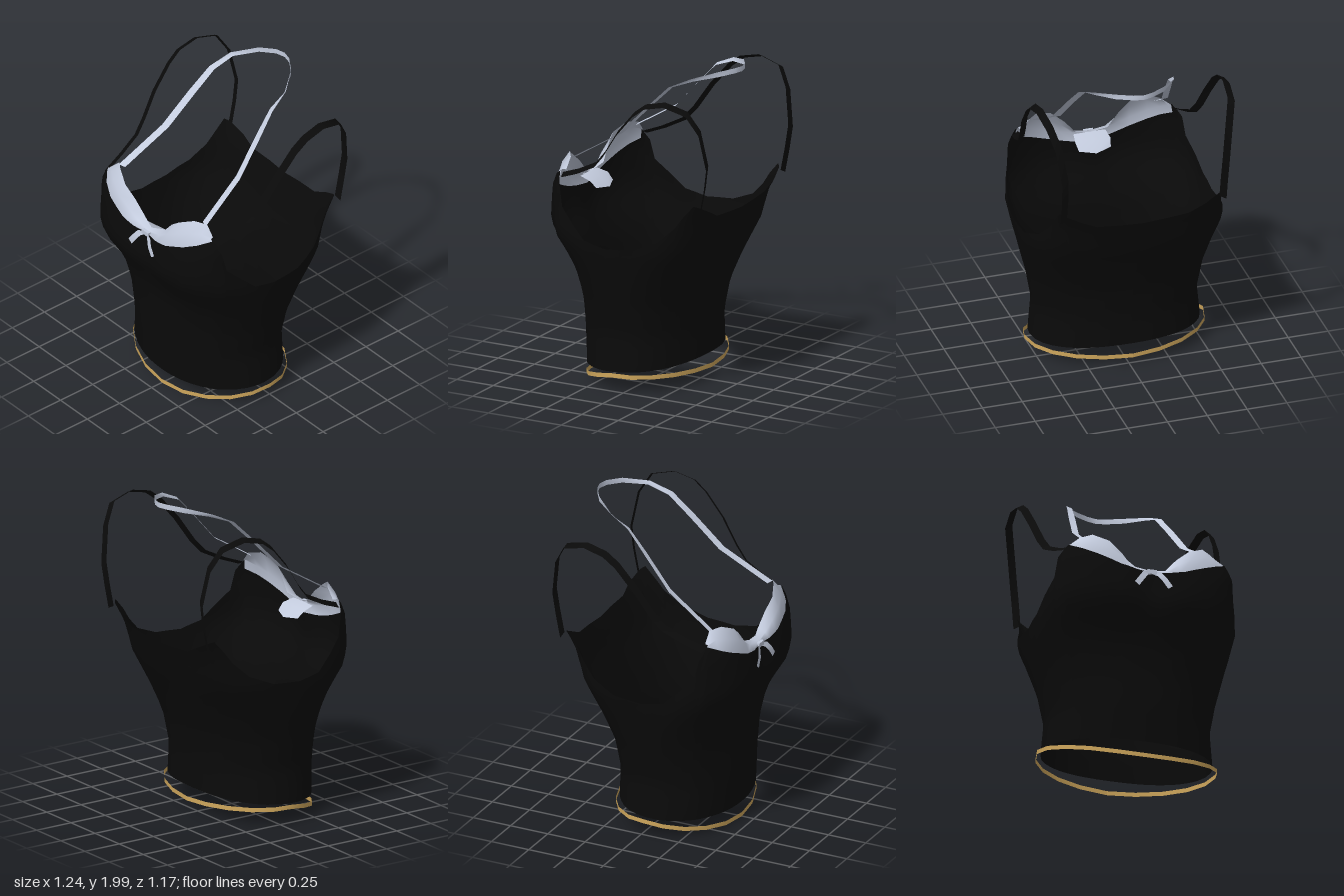
import * as THREE from 'three';

const DEG = Math.PI / 180;
const V = (x, y, z) => new THREE.Vector3(x, y, z);

function material(name, color) {
  const m = new THREE.MeshStandardMaterial({ color, side: THREE.DoubleSide });
  m.name = name;
  return m;
}

// Piecewise linear lookup: rows are [key, value, value...]
function lookup(table, key) {
  let i = 0;
  while (i < table.length - 2 && key > table[i + 1][0]) i++;
  const a = table[i], b = table[i + 1];
  const t = THREE.MathUtils.clamp((key - a[0]) / (b[0] - a[0]), 0, 1);
  return a.slice(1).map((v, k) => v + (b[k + 1] - v) * t);
}

// Surface through rows of points
function surface(name, rows, mat) {
  const n = rows[0].length, index = [];
  for (let j = 0; j < rows.length - 1; j++) {
    for (let i = 0; i < n - 1; i++) {
      const a = j * n + i, d = a + n;
      index.push(a, a + 1, d + 1, a, d + 1, d);
    }
  }
  const g = new THREE.BufferGeometry().setFromPoints(rows.flat());
  g.setIndex(index);
  g.computeVertexNormals();
  const mesh = new THREE.Mesh(g, mat);
  mesh.name = name;
  return mesh;
}

// Flat band along a path; each entry is [x, y, z, half-width vector]
function ribbon(name, path, mat) {
  const edge = s => path.map(([x, y, z, w]) => V(x, y, z).addScaledVector(w, s));
  return surface(name, [edge(-1), edge(1)], mat);
}

// Body sections: height, half width, front z, back z, squareness
const SECTIONS = [
  [0.10, 0.53, 0.42, -0.30, 2.1],
  [0.35, 0.505, 0.44, -0.30, 2.1],
  [0.55, 0.54, 0.44, -0.33, 2.2],
  [0.72, 0.58, 0.46, -0.39, 2.5],
  [0.82, 0.60, 0.50, -0.43, 2.8],
  [0.94, 0.62, 0.57, -0.48, 3.2],
  [1.02, 0.61, 0.59, -0.50, 3.4],
  [1.15, 0.59, 0.575, -0.54, 3.8],
  [1.25, 0.58, 0.55, -0.60, 4.5],
  [1.35, 0.56, 0.50, -0.60, 4.5],
];

// Top edge by angle from the front: neckline, armhole, back neckline
const TOP_EDGE = [
  [0, 1.17], [11, 1.175], [21, 1.195], [34, 1.25], [51, 1.33], [56, 1.25],
  [58.5, 1.13], [75, 0.96], [88, 0.93], [105, 0.945], [119, 1.01],
  [127.5, 1.10], [136, 1.25], [139, 1.235], [153, 1.14], [180, 1.12],
];

// Point on the body at an angle and height
function bodyPoint(angle, y, scale = 1) {
  const zc = 0.04;
  const [w, front, back, n] = lookup(SECTIONS, y);
  const dx = Math.sin(angle * DEG), dz = Math.cos(angle * DEG);
  const depth = dz > 0 ? front - zc : zc - back;
  let r = scale / Math.pow(Math.pow(Math.abs(dx) / w, n) + Math.pow(Math.abs(dz) / depth, n), 1 / n);
  // Hollow between the cups
  const bust = Math.max(0, 1 - Math.abs(y - 1.08) / 0.28);
  r *= 1 - 0.08 * bust * Math.exp(-Math.pow(angle / 12, 2));
  return V(dx * r, y, zc + dz * r);
}

const topY = angle => lookup(TOP_EDGE, Math.abs(angle))[0];

function buildTop(mat) {
  const half = [];
  TOP_EDGE.forEach(([a], i) => {
    if (i) half.push((a + TOP_EDGE[i - 1][0]) / 2);
    half.push(a);
  });
  const angles = [...half.slice(1).reverse().map(a => -a), ...half];
  const rows = [], steps = 18;
  for (let j = 0; j <= steps; j++) {
    rows.push(angles.map(a => {
      const bottom = 0.11 + 0.03 * (1 - Math.cos(a * DEG));
      return bodyPoint(a, THREE.MathUtils.lerp(bottom, topY(a), j / steps));
    }));
  }
  return surface('topBody', rows, mat);
}

function buildShoulderStrap(side, mat) {
  const path = [
    [0.50, 1.31, 0.42], [0.52, 1.355, 0.30], [0.54, 1.42, 0.17], [0.555, 1.50, 0.10],
    [0.575, 1.65, 0.00], [0.585, 1.79, -0.12], [0.59, 1.85, -0.20], [0.585, 1.88, -0.33],
    [0.57, 1.84, -0.475], [0.535, 1.72, -0.545], [0.505, 1.50, -0.58], [0.50, 1.36, -0.56],
    [0.50, 1.21, -0.53],
  ];
  const w = V(side * 0.021, -0.011, -0.004);
  return ribbon('shoulderStrap', path.map(([x, y, z]) => [side * x, y, z, w]), mat);
}

function buildHalter(mat) {
  const half = [
    [0.385, 1.39, 0.41], [0.34, 1.57, 0.11], [0.305, 1.76, -0.07], [0.278, 1.89, -0.20],
    [0.25, 1.945, -0.33], [0.15, 1.975, -0.46], [0.06, 1.984, -0.52], [0, 1.984, -0.535],
  ];
  // The band turns from lying flat at the chest to upright behind the neck
  const half2 = half.map(([x, y, z], i) => {
    const t = THREE.MathUtils.clamp((i - 2.5) / 2.5, 0, 1);
    return [x, y, z, V(0.023 * (1 - t), 0.016 * t, 0.006 * (1 - t))];
  });
  const mirrored = half2.slice(0, -1).reverse()
    .map(([x, y, z, w]) => [-x, y, z, V(-w.x, w.y, w.z)]);
  return ribbon('halterStrap', [...half2, ...mirrored], mat);
}

function buildBra(mat) {
  // Body angle at the neckline, then the upper edge x, y, z
  const half = [
    [0, 0, 1.19, 0.50], [11, 0.10, 1.22, 0.475], [19, 0.17, 1.30, 0.485],
    [27, 0.25, 1.365, 0.495], [37, 0.345, 1.41, 0.455], [44, 0.41, 1.40, 0.41],
    [51, 0.465, 1.335, 0.41],
  ];
  const columns = [
    ...half.slice(1).reverse().map(([a, x, y, z]) => [-a, -x, y, z]), ...half,
  ];
  const low = columns.map(([a]) => bodyPoint(a, topY(a) - 0.06, 0.975));
  const edge = columns.map(([a]) => bodyPoint(a, topY(a), 0.99));
  const top = columns.map(([, x, y, z]) => V(x, y, z));
  const middle = edge.map((p, i) => p.clone().lerp(top[i], 0.5).add(V(0, 0.005, 0.012)));
  const group = new THREE.Group();
  group.name = 'innerBra';
  group.add(surface('cups', [low, edge, middle, top], mat));
  // Bridge folding inward between the cups
  group.add(surface('centreBridge', [
    [V(-0.10, 1.18, 0.52), V(0, 1.185, 0.515), V(0.10, 1.18, 0.52)],
    [V(-0.11, 1.16, 0.45), V(0, 1.165, 0.45), V(0.11, 1.16, 0.45)],
    [V(-0.10, 1.12, 0.41), V(0, 1.11, 0.375), V(0.10, 1.12, 0.41)],
  ], mat));
  return group;
}

function buildBow(mat) {
  const group = new THREE.Group();
  group.name = 'bow';
  for (const s of [-1, 1]) {
    const w = V(s * 0.014, 0.011, 0);
    group.add(ribbon('bowTail', [
      [s * 0.01, 1.17, 0.545, V(0, 0.014, 0)], [s * 0.045, 1.155, 0.56, w],
      [s * 0.07, 1.12, 0.575, w], [s * 0.105, 1.07, 0.58, w],
    ], mat));
  }
  const knot = new THREE.Mesh(new THREE.BoxGeometry(0.06, 0.028, 0.02), mat);
  knot.name = 'bowKnot';
  knot.position.set(0, 1.172, 0.542);
  group.add(knot);
  return group;
}

function buildBelt(mat) {
  const heights = [[0, 0.022], [21, 0.032], [48, 0.07], [70, 0.105], [90, 0.128], [135, 0.118], [180, 0.103]];
  const path = [];
  for (let i = 0; i <= 20; i++) {
    const a = -180 + i * 18;
    const [y] = lookup(heights, Math.abs(a));
    path.push([0.56 * Math.sin(a * DEG), y, 0.045 + 0.375 * Math.cos(a * DEG), V(0, 0.0135, 0)]);
  }
  return ribbon('waistChain', path, mat);
}

export function createModel() {
  const black = material('black fabric', 0x0a0a0a);
  const pale = material('pale blue grey fabric', 0xc3cbdd);
  const gold = material('gold', 0xcfa75c);
  const model = new THREE.Group();
  model.name = 'camisoleOutfit';
  model.add(
    buildTop(black),
    buildShoulderStrap(1, black),
    buildShoulderStrap(-1, black),
    buildBra(pale),
    buildHalter(pale),
    buildBow(pale),
    buildBelt(gold),
  );
  return model;
}
